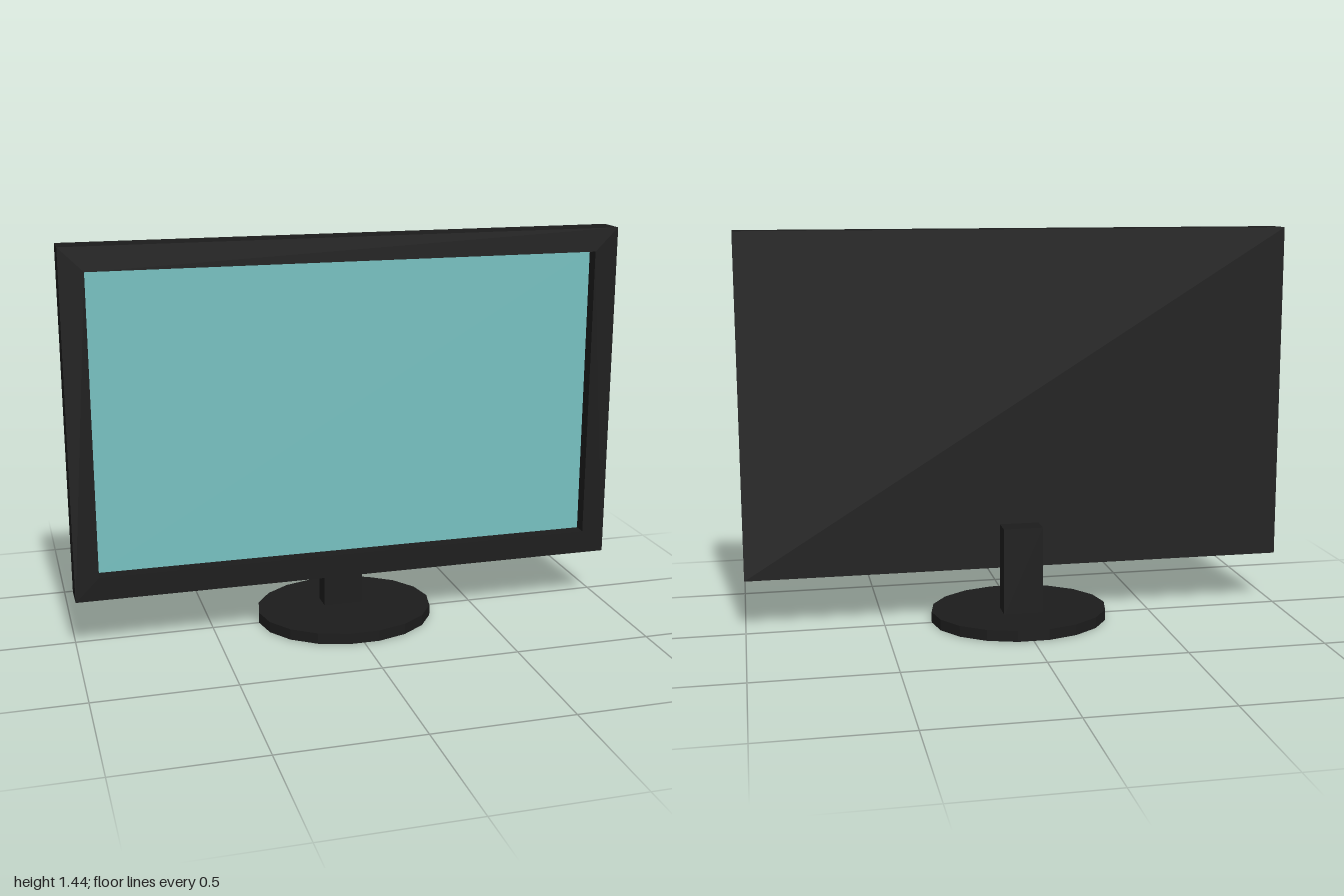
import * as THREE from 'three';

const dark = new THREE.MeshStandardMaterial({ color: 0x1c1c1c, flatShading: true });
const teal = new THREE.MeshStandardMaterial({ color: 0x76c0c0 });

function add(parent, name, geometry, material, x, y, z) {
  const mesh = new THREE.Mesh(geometry, material);
  mesh.name = name;
  mesh.position.set(x, y, z);
  parent.add(mesh);
  return mesh;
}

function rectangle(path, w, h) {
  path.moveTo(-w / 2, -h / 2);
  path.lineTo(w / 2, -h / 2);
  path.lineTo(w / 2, h / 2);
  path.lineTo(-w / 2, h / 2);
  path.closePath();
  return path;
}

export function createModel() {
  const model = new THREE.Group();
  model.name = 'monitor';

  const width = 2, height = 1.24, depth = 0.11, centreY = 0.815;
  const screenW = 1.83, screenH = 1.07, recess = 0.05;
  const screenZ = depth - recess;

  // Solid back half of the housing
  add(model, 'backHousing', new THREE.BoxGeometry(width, height, screenZ),
    dark, 0, centreY, screenZ / 2);

  // Bezel standing proud of the screen
  const outline = rectangle(new THREE.Shape(), width, height);
  outline.holes.push(rectangle(new THREE.Path(), screenW, screenH));
  add(model, 'bezel', new THREE.ExtrudeGeometry(outline, { depth: recess, bevelEnabled: false }),
    dark, 0, centreY, screenZ);

  // Recessed screen
  add(model, 'screen', new THREE.PlaneGeometry(screenW, screenH),
    teal, 0, centreY, screenZ + 0.002);

  // Neck behind the panel
  add(model, 'neck', new THREE.BoxGeometry(0.145, 0.33, 0.079), dark, -0.002, 0.195, -0.0395);

  // Oval 18-sided foot, with flats facing front and back
  const foot = new THREE.CylinderGeometry(1, 1, 0.04, 18, 1, false, Math.PI / 18);
  foot.scale(0.327, 1, 0.281);
  add(model, 'foot', foot, dark, 0, 0.02, 0.001);

  return model;
}
